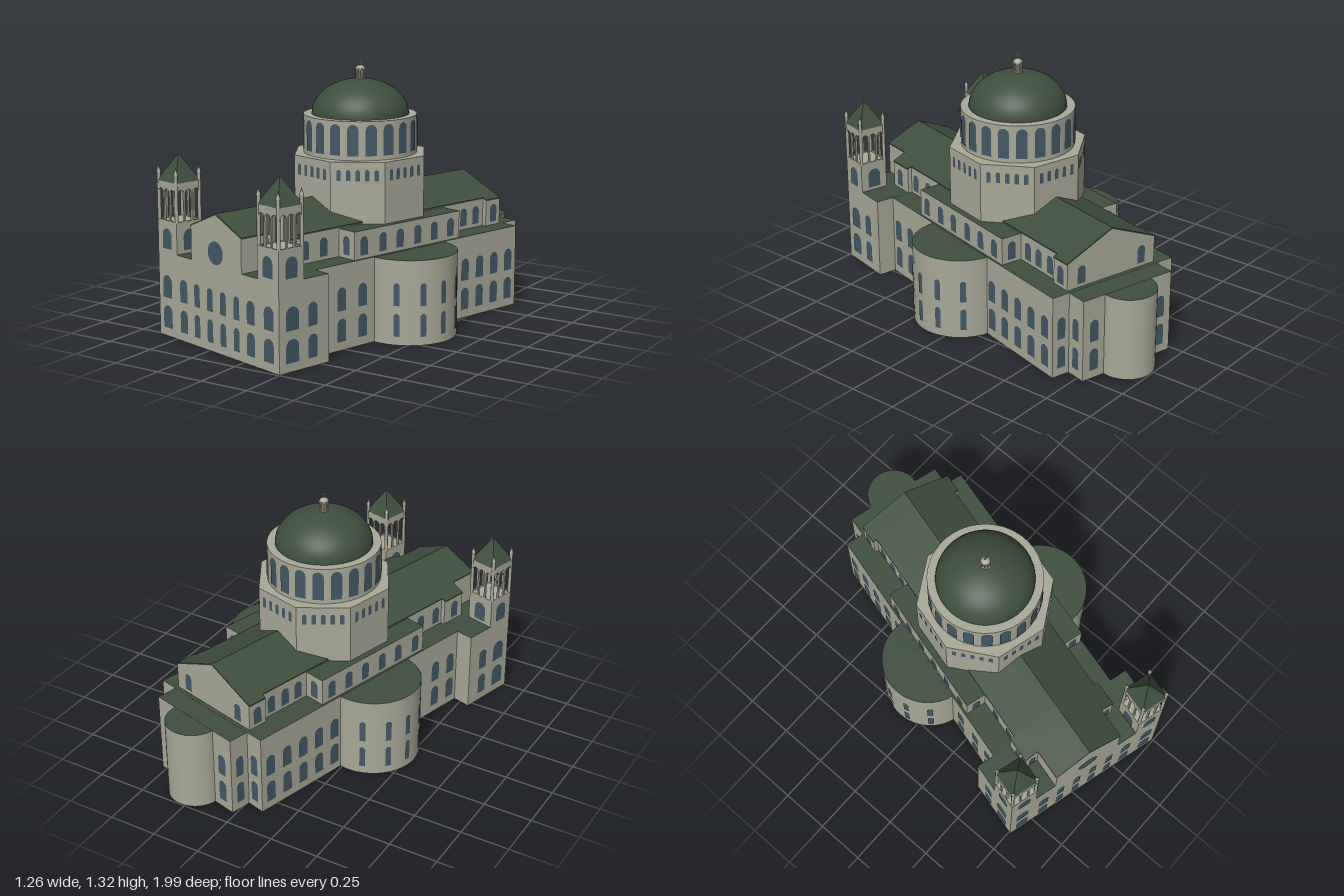
import * as THREE from 'three';
import { mergeGeometries } from 'three/addons/utils/BufferGeometryUtils.js';

const stone = new THREE.MeshStandardMaterial({ color: 0xa9a998 });
stone.name = 'pale stone';
const copper = new THREE.MeshStandardMaterial({ color: 0x3e4f3d });
copper.name = 'green copper';
const glass = new THREE.MeshStandardMaterial({ color: 0x425866 });
glass.name = 'blue glass';

export function createModel() {
  const model = new THREE.Group();
  model.name = 'domedChurch';
  const church = new THREE.Group();
  church.name = 'church';
  church.position.set(0.045, 0, -0.01);
  church.rotation.y = -Math.PI / 12;
  model.add(church);

  const add = (name, geo, mat, x = 0, y = 0, z = 0, parent = church) => {
    const m = new THREE.Mesh(geo, mat);
    m.name = name;
    m.position.set(x, y, z);
    parent.add(m);
    return m;
  };
  // Stone block with a copper top
  const block = (name, x0, x1, y0, y1, z0, z1) =>
    add(name, new THREE.BoxGeometry(x1 - x0, y1 - y0, z1 - z0),
      [stone, stone, copper, stone, stone, stone], (x0 + x1) / 2, (y0 + y1) / 2, (z0 + z1) / 2);
  // Round-headed outline, standing on y = y0
  const arch = (w, h, x = 0, y0 = 0, Type = THREE.Shape) => {
    const s = new Type(), r = w / 2;
    s.moveTo(x - r, y0);
    s.lineTo(x + r, y0);
    s.lineTo(x + r, y0 + h - r);
    s.absarc(x, y0 + h - r, r, 0, Math.PI, false);
    s.lineTo(x - r, y0);
    return s;
  };
  // All windows are gathered, then merged into one mesh per part
  const panes = {};
  const win = (part, x, y, z, angle, w, h) => {
    const g = new THREE.ShapeGeometry(arch(w, h), 6);
    g.rotateY(angle);
    g.translate(x + Math.sin(angle) * 0.002, y, z + Math.cos(angle) * 0.002);
    (panes[part] ??= []).push(g);
  };
  const rows = (part, x, z, angle, w) => {
    win(part, x, 0.043, z, angle, w, 0.113);
    win(part, x, 0.195, z, angle, w, 0.113);
  };
  const R = Math.PI / 2, FRONT = 0.918, TOP = 0.422;

  // Lower storey
  block('mainBody', -0.36, 0.36, 0, TOP, -0.77, FRONT - 0.002);
  block('rearBody', -0.264, 0.264, 0, TOP - 0.001, -0.877, -0.7);
  for (const s of [-1, 1])
    block('frontWing', s > 0 ? 0.3 : -0.455, s > 0 ? 0.455 : -0.3, 0, TOP + 0.001, 0.617, FRONT);
  block('frontWall', -0.31, 0.31, 0, TOP, 0.8, FRONT);
  const apse = (name, x, z, r) =>
    add(name, new THREE.CylinderGeometry(r, r, TOP - 0.002, 40), [stone, copper, stone], x, TOP / 2 - 0.001, z);
  apse('rearApse', 0, -0.878, 0.138);

  // Facade windows
  for (const s of [-1, 1]) {
    for (const [x, w] of [[0.385, 0.07], [0.255, 0.057], [0.15, 0.043], [0.05, 0.043]])
      rows('facadeWindows', s * x, FRONT, 0, w);
    // Flank windows
    for (const [x, z, w] of [[0.455, 0.84, 0.078], [0.455, 0.717, 0.055], [0.36, 0.566, 0.055],
      [0.36, 0.452, 0.055], [0.36, 0.318, 0.055], [0.36, -0.283, 0.055], [0.36, -0.39, 0.055],
      [0.36, -0.497, 0.055], [0.36, -0.604, 0.055], [0.36, -0.711, 0.055], [0.264, -0.823, 0.045]])
      rows('flankWindows', s * x, z, s * R, w);
    rows('rearWindows', s * 0.31, -0.77, Math.PI, 0.045);
    rows('rearWindows', s * 0.2, -0.877, Math.PI, 0.05);
    // Side apses with narrow windows
    apse('sideApse', s * 0.35, 0, 0.24);
    for (const a of [-58, -27, 0, 27, 58]) {
      const t = s * (R + a * Math.PI / 180);
      rows('apseWindows', s * 0.35 + Math.sin(t) * 0.24, Math.cos(t) * 0.24, t, 0.03);
    }
  }

  // Upper nave in gabled sections sharing one ridge
  const RIDGE = 0.668, SLOPE = 0.43;
  const gable = (name, half, z0, z1) => {
    const eave = RIDGE - SLOPE * half;
    const wall = new THREE.Shape([[-half, TOP - 0.01], [half, TOP - 0.01], [half, eave], [0, RIDGE], [-half, eave]]
      .map(p => new THREE.Vector2(...p)));
    const e = half + 0.003, ey = RIDGE - SLOPE * e, t = 0.007;
    const roof = new THREE.Shape([[-e, ey], [0, RIDGE], [e, ey], [e, ey + t], [0, RIDGE + t], [-e, ey + t]]
      .map(p => new THREE.Vector2(...p)));
    const opts = { depth: z1 - z0, bevelEnabled: false };
    add(name + 'Walls', new THREE.ExtrudeGeometry(wall, opts), stone, 0, 0, z0);
    add(name + 'Roof', new THREE.ExtrudeGeometry(roof, opts), copper, 0, 0, z0);
  };
  gable('frontGable', 0.19, 0.75, FRONT + 0.001);
  gable('frontNave', 0.262, 0.62, 0.757);
  gable('nave', 0.24, -0.65, 0.625);
  gable('rearNave', 0.262, -0.75, -0.646);
  block('crossing', -0.35, 0.35, TOP - 0.01, 0.56, -0.355, 0.36);
  const rose = new THREE.CircleGeometry(0.057, 24);
  add('roseWindow', rose, glass, 0, 0.487, FRONT + 0.004);
  for (const s of [-1, 1]) {
    for (const [x, z] of [[0.262, 0.695], [0.24, 0.575], [0.24, 0.46], [0.24, -0.415],
      [0.24, -0.5], [0.24, -0.59], [0.262, -0.7]])
      win('naveWindows', s * x, 0.44, z, s * R, 0.048, 0.092);
    for (const z of [-0.29, -0.175, -0.06, 0.06, 0.175, 0.3])
      win('crossingWindows', s * 0.35, 0.44, z, s * R, 0.048, 0.092);
    win('naveWindows', s * 0.225, 0.44, 0.757, 0, 0.038, 0.092);
    win('crossingWindows', s * 0.295, 0.44, 0.36, 0, 0.045, 0.092);
    win('crossingWindows', s * 0.295, 0.44, -0.355, Math.PI, 0.045, 0.092);
    win('naveWindows', s * 0.18, 0.44, -0.75, Math.PI, 0.045, 0.092);
  }

  // Octagonal base of the dome
  const OCT = 0.345, apothem = OCT * Math.cos(Math.PI / 8);
  const oct = new THREE.CylinderGeometry(OCT, OCT, 0.863 - TOP, 8).toNonIndexed();
  oct.rotateY(Math.PI / 8);
  oct.computeVertexNormals();
  add('octagon', oct, stone, 0, (0.863 + TOP) / 2, 0);
  for (let i = 0; i < 8; i++) {
    const a = i * Math.PI / 4;
    for (let k = -2; k <= 2; k++) {
      const o = k * 0.046;
      win('octagonWindows', Math.sin(a) * apothem + Math.cos(a) * o, 0.77,
        Math.cos(a) * apothem - Math.sin(a) * o, a, 0.021, 0.055);
    }
  }

  // Drum and dome
  const DRUM = 0.283;
  add('drum', new THREE.CylinderGeometry(DRUM, DRUM, 0.193, 40), stone, 0, 0.9575, 0);
  for (let i = 0; i < 20; i++) {
    const a = (4 + i * 18) * Math.PI / 180;
    win('drumWindows', Math.sin(a) * DRUM, 0.885, Math.cos(a) * DRUM, a, 0.055, 0.153);
  }
  const dome = new THREE.SphereGeometry(0.242, 48, 16, 0, Math.PI * 2, 0, R);
  dome.scale(1, 0.174 / 0.242, 1);
  add('dome', dome, copper, 0, 1.054, 0);

  // Lantern with columns, cap and cross
  const lantern = [new THREE.CylinderGeometry(0.024, 0.024, 0.008, 16).translate(0, 1.228, 0),
    new THREE.CylinderGeometry(0.011, 0.011, 0.05, 10).translate(0, 1.25, 0)];
  for (let i = 0; i < 8; i++) {
    const a = i * Math.PI / 4;
    lantern.push(new THREE.CylinderGeometry(0.004, 0.004, 0.05, 6)
      .translate(Math.sin(a) * 0.019, 1.25, Math.cos(a) * 0.019));
  }
  lantern.push(new THREE.CylinderGeometry(0.026, 0.026, 0.006, 16).translate(0, 1.274, 0));
  lantern.push(new THREE.SphereGeometry(0.023, 16, 8, 0, Math.PI * 2, 0, R).scale(1, 0.75, 1).translate(0, 1.277, 0));
  add('lantern', mergeGeometries(lantern), stone);
  add('cross', mergeGeometries([new THREE.BoxGeometry(0.004, 0.034, 0.004).translate(0, 1.307, 0),
    new THREE.BoxGeometry(0.02, 0.004, 0.004).translate(0, 1.313, 0)]), stone);

  // Bell towers
  const W = 0.15, H = W / 2, BELL = 0.577, CAP = 0.77;
  const side = new THREE.Shape([[-H, 0], [H, 0], [H, CAP - BELL], [-H, CAP - BELL]].map(p => new THREE.Vector2(...p)));
  for (const k of [-1, 0, 1]) side.holes.push(arch(0.036, 0.155, k * 0.045, 0.004, THREE.Path));
  const sideGeo = new THREE.ExtrudeGeometry(side, { depth: 0.01, bevelEnabled: false, curveSegments: 6 });
  sideGeo.translate(0, 0, H - 0.01);
  for (const s of [-1, 1]) {
    const x = s * (0.455 - H), z = FRONT - H;
    const tower = new THREE.Group();
    tower.name = 'bellTower';
    tower.position.set(x, 0, z);
    church.add(tower);
    add('shaft', new THREE.BoxGeometry(W, BELL - 0.4, W), stone, 0, (BELL + 0.4) / 2, 0, tower);
    for (let i = 0; i < 4; i++) {
      const a = i * R;
      add('belfrySide', sideGeo, stone, 0, BELL, 0, tower).rotation.y = a;
      win('towerWindows', x + Math.sin(a) * H, 0.44, z + Math.cos(a) * H, a, 0.07, 0.102);
      // Corner pinnacle
      const px = (i % 2 ? 1 : -1) * (H - 0.006), pz = (i < 2 ? 1 : -1) * (H - 0.006);
      add('pinnacle', mergeGeometries([
        new THREE.CylinderGeometry(0.009, 0.009, 0.235, 8).translate(0, 0.6945, 0),
        new THREE.ConeGeometry(0.011, 0.04, 8).translate(0, 0.832, 0)]), stone, px, 0, pz, tower);
    }
    add('belfryCeiling', new THREE.BoxGeometry(W, 0.01, W), stone, 0, CAP - 0.004, 0, tower);
    const spire = new THREE.ConeGeometry(H * Math.SQRT2, 0.13, 4).toNonIndexed();
    spire.rotateY(Math.PI / 4);
    spire.computeVertexNormals();
    add('towerRoof', spire, copper, 0, CAP + 0.066, 0, tower);
  }

  for (const part in panes) add(part, mergeGeometries(panes[part]), glass);
  return model;
}
